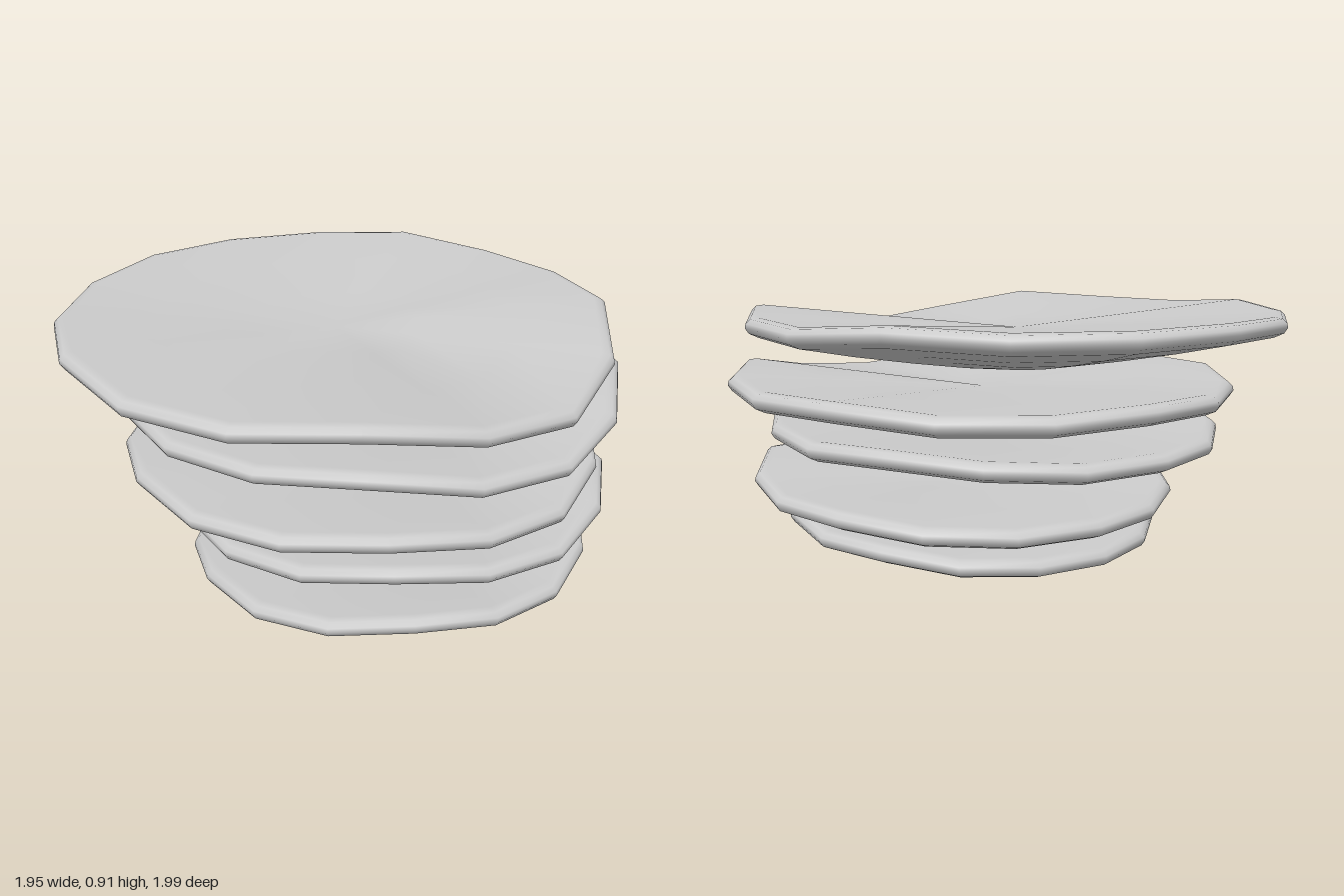
import * as THREE from 'three';

const SIDES = 16;

// Wavy plates, bottom to top. heights: rim height from the +x side round to the -x side
const plates = [
  { x: 0.26, z: 0.01, r: 0.71, turn: -3, belly: 0.05, heights: [0.13, 0.15, 0.175, 0.14, 0.11, 0.105, 0.07, 0.055, 0.05] },
  { x: 0.19, z: -0.08, r: 0.78, turn: 3, belly: 0.085, heights: [0.275, 0.3, 0.33, 0.29, 0.265, 0.26, 0.23, 0.215, 0.215] },
  { x: 0.13, z: 0.02, r: 0.84, turn: -3, belly: 0.1, heights: [0.43, 0.46, 0.5, 0.48, 0.465, 0.475, 0.45, 0.43, 0.43] },
  { x: 0.065, z: -0.09, r: 0.905, turn: 3, belly: 0.1, heights: [0.59, 0.62, 0.68, 0.66, 0.645, 0.65, 0.625, 0.62, 0.63] },
  { x: 0, z: 0.02, r: 0.975, turn: -3, belly: 0.115, heights: [0.77, 0.82, 0.885, 0.865, 0.86, 0.885, 0.87, 0.87, 0.875] },
];

// Rings from the top centre, over the rounded rim, to the bottom centre
function plateGeometry({ r, turn, belly, heights }) {
  const dish = 0.02;
  const centre = (heights[0] + heights[8]) / 2;
  // [radius, offset from the mid surface]
  const top = (t) => [t * r, 0.032 - dish * (1 - t)];
  const bottom = (t) => [t * r, -0.032 - belly * (1 - Math.pow(t, 1.3))];
  const rings = [
    top(0.3), top(0.65), [r - 0.045, 0.032], [r - 0.018, 0.026], [r - 0.003, 0.011],
    [r, -0.004], [r - 0.012, -0.022], [r - 0.045, -0.036],
    bottom(0.75), bottom(0.5), bottom(0.25),
  ];

  const points = [0, centre + top(0)[1], 0];
  for (const [radius, offset] of rings) {
    const t = radius / r;
    for (let k = 0; k < SIDES; k++) {
      const a = (k / SIDES) * Math.PI * 2 + THREE.MathUtils.degToRad(turn);
      const rim = heights[Math.min(k, SIDES - k)];
      points.push(Math.cos(a) * radius, THREE.MathUtils.lerp(centre, rim, t) + offset, Math.sin(a) * radius);
    }
  }
  points.push(0, centre + bottom(0)[1], 0);

  const index = [];
  const at = (ring, k) => 1 + ring * SIDES + (k % SIDES);
  const last = rings.length - 1;
  const end = points.length / 3 - 1;
  for (let k = 0; k < SIDES; k++) {
    index.push(0, at(0, k + 1), at(0, k));
    for (let i = 0; i < last; i++) {
      const a = at(i, k), b = at(i, k + 1), c = at(i + 1, k + 1), d = at(i + 1, k);
      index.push(a, b, c, a, c, d);
    }
    index.push(end, at(last, k), at(last, k + 1));
  }

  const geometry = new THREE.BufferGeometry();
  geometry.setAttribute('position', new THREE.Float32BufferAttribute(points, 3));
  geometry.setIndex(index);
  geometry.computeVertexNormals();
  return geometry;
}

export function createModel() {
  const model = new THREE.Group();
  model.name = 'plateStack';
  const material = new THREE.MeshStandardMaterial({ color: 0xcccccc });
  plates.forEach((plate, i) => {
    const mesh = new THREE.Mesh(plateGeometry(plate), material);
    mesh.name = `wavyPlate${i + 1}`;
    mesh.position.set(plate.x, 0, plate.z);
    model.add(mesh);
  });
  return model;
}
